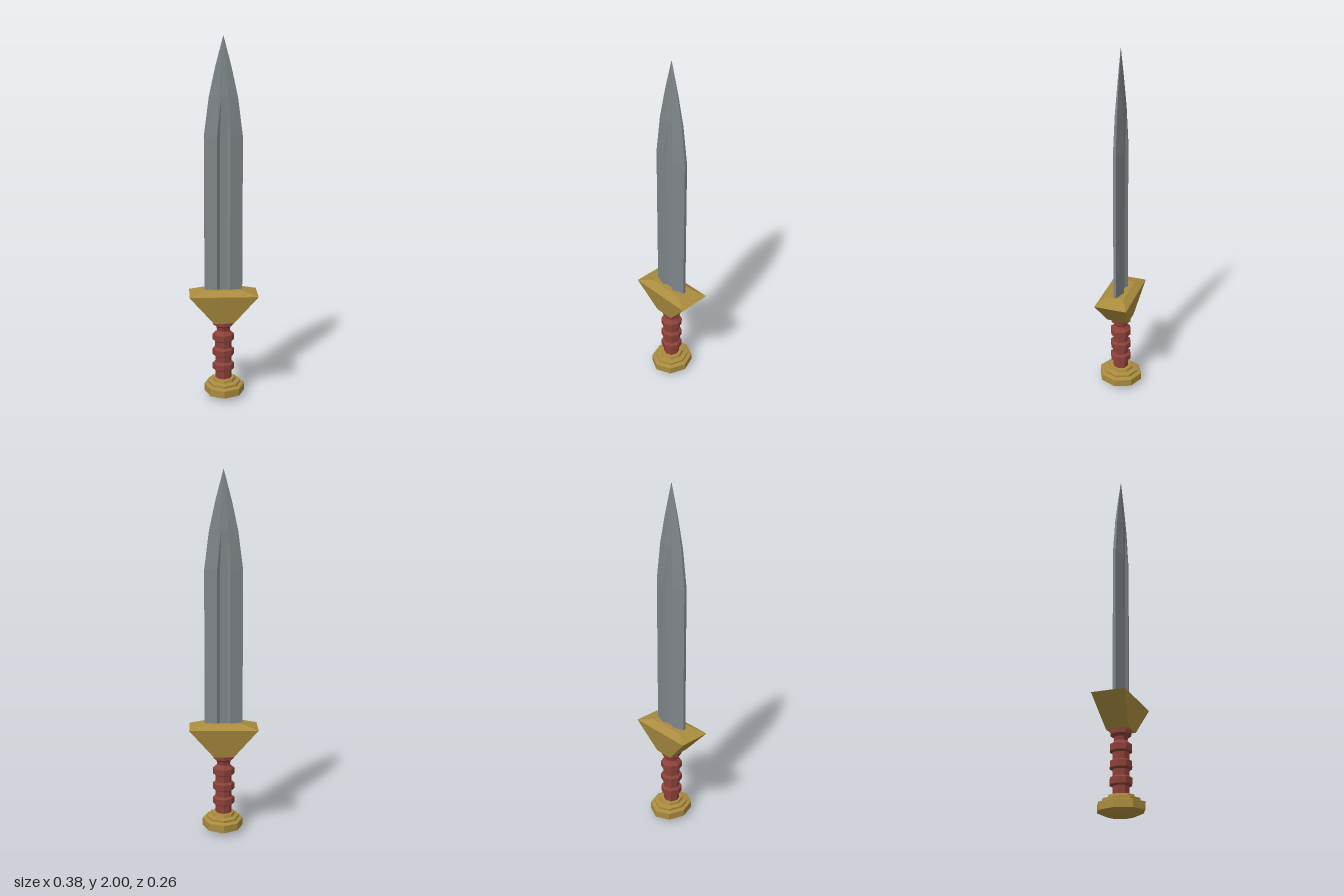
import * as THREE from 'three';

const material = (name, color) => {
  const m = new THREE.MeshStandardMaterial({ color, flatShading: true });
  m.name = name;
  return m;
};

// Joins stacked rings of [x, y, z] points (running +x, +z, -x, -z) and caps both ends.
function loft(rings) {
  const pos = [];
  const tri = (...pts) => pts.forEach((p) => pos.push(...p));
  const n = rings[0].length;
  for (let k = 0; k < rings.length - 1; k++) {
    for (let i = 0; i < n; i++) {
      const j = (i + 1) % n;
      const a = rings[k][i], b = rings[k][j], c = rings[k + 1][j], d = rings[k + 1][i];
      tri(a, d, b);
      tri(b, d, c);
    }
  }
  const cap = (ring, up) => {
    const c = [0, 1, 2].map((q) => ring.reduce((s, p) => s + p[q], 0) / n);
    for (let i = 0; i < n; i++) {
      const a = ring[i], b = ring[(i + 1) % n];
      up ? tri(c, b, a) : tri(c, a, b);
    }
  };
  cap(rings[0], false);
  cap(rings[rings.length - 1], true);
  const geo = new THREE.BufferGeometry();
  geo.setAttribute('position', new THREE.Float32BufferAttribute(pos, 3));
  geo.computeVertexNormals();
  return geo;
}

// Eight-sided ring with a corner on each axis
const octagon = (y, r, left = r, right = r) =>
  Array.from({ length: 8 }, (_, i) => {
    const a = (i * Math.PI) / 4, c = Math.cos(a);
    return [c * (c > 0 ? right : left), y, Math.sin(a) * r];
  });

const rectangle = (y, x, z) => [[x, y, z], [-x, y, z], [-x, y, -z], [x, y, -z]];

// Blade section: blunt edge, ridge and sunken central groove
const bladeRing = ([y, edgeX, edgeZ, ridgeX, ridgeZ, grooveX, grooveZ]) => {
  const half = [[edgeX, edgeZ], [ridgeX, ridgeZ], [grooveX, grooveZ]];
  const front = [...half, ...half.map(([x, z]) => [-x, z]).reverse()];
  const back = front.map(([x, z]) => [-x, -z]);
  return [...front, ...back].map(([x, z]) => [x, y, z]);
};

export function createModel() {
  const steel = material('steel', 0x7f8589);
  const gold = material('gold', 0xaa8c3e);
  const leather = material('red leather', 0x8c4139);
  const group = new THREE.Group();
  group.name = 'shortSword';
  const add = (name, geo, mat) => {
    const mesh = new THREE.Mesh(geo, mat);
    mesh.name = name;
    group.add(mesh);
  };

  // Blade, with the groove fading out before the tip
  add('blade', loft([
    [0.6, 0.105, 0.008, 0.036, 0.03, 0.02, 0.016],
    [1.47, 0.105, 0.008, 0.036, 0.03, 0.02, 0.016],
    [1.68, 0.078, 0.006, 0.025, 0.02, 0.012, 0.0195],
    [1.84, 0.043, 0.003, 0.013, 0.01, 0.006, 0.01],
    [2.0, 0.0005, 0.0004, 0.0003, 0.0004, 0.0001, 0.0004],
  ].map(bladeRing)), steel);

  // Flared guard with a bevelled top
  add('guard', loft([
    rectangle(0.44, 0.055, 0.062),
    rectangle(0.6, 0.19, 0.092),
    rectangle(0.625, 0.105, 0.05),
  ]), gold);

  // Grip: a core with three raised rings, a narrow neck and a collar
  const grip = [[0.09, 0.046]];
  for (const y of [0.175, 0.26, 0.348]) {
    grip.push([y - 0.026, 0.046], [y - 0.018, 0.061], [y + 0.015, 0.061], [y + 0.025, 0.046]);
  }
  grip.push([0.385, 0.036], [0.405, 0.04], [0.418, 0.058], [0.445, 0.058]);
  add('grip', loft(grip.map(([y, r]) => octagon(y, r))), leather);

  // Stepped pommel, slightly wider on one side
  add('pommel', loft([
    [0, 0.07], [0.025, 0.128], [0.066, 0.128], [0.073, 0.103],
    [0.085, 0.103], [0.09, 0.075], [0.105, 0.07],
  ].map(([y, r]) => octagon(y, r, r * 0.84, r * 0.93))), gold);

  return group;
}
